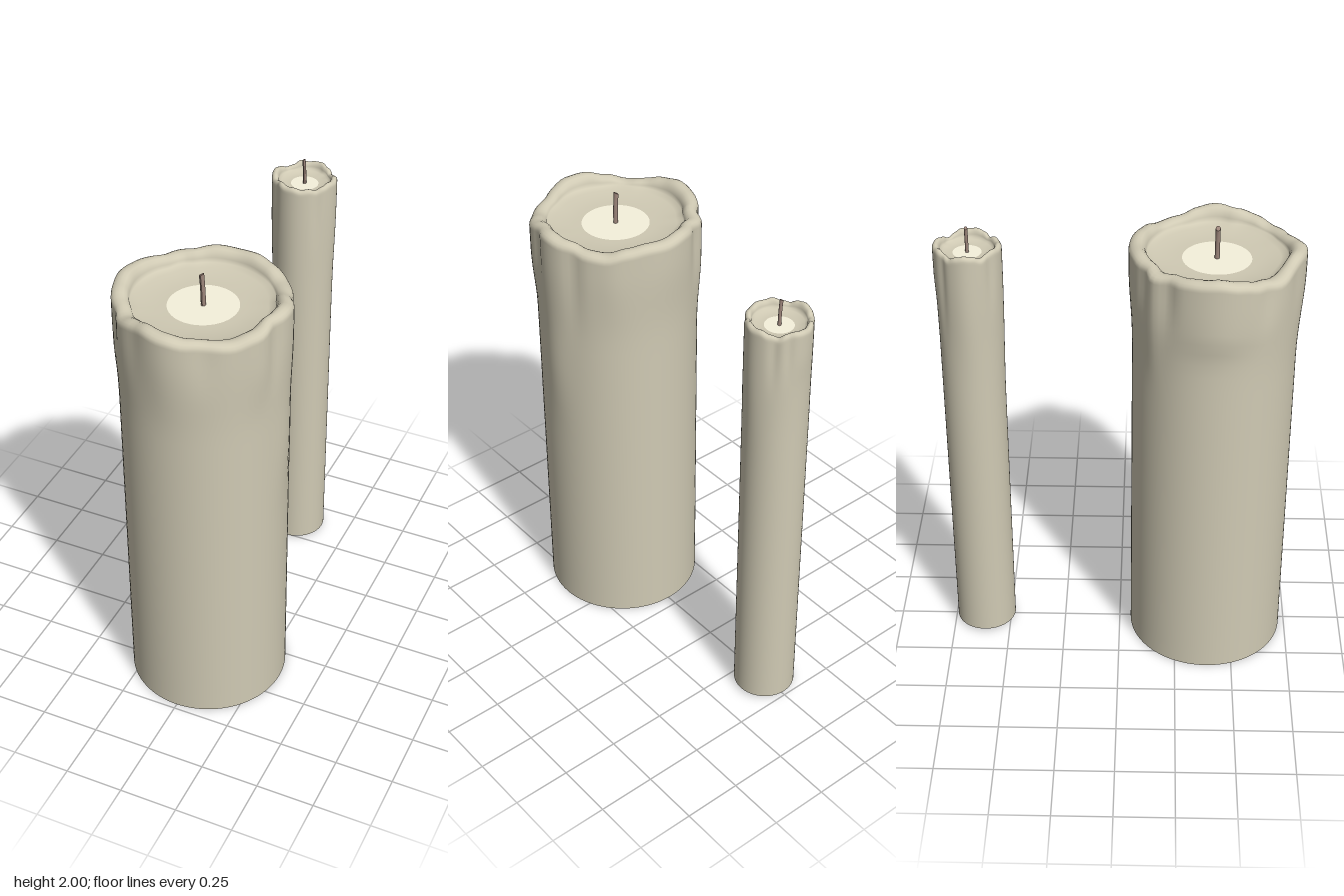
import * as THREE from 'three';

const SEG = 96;
const wax = new THREE.MeshStandardMaterial({ color: 0xd0cab4 });
const meltedWax = new THREE.MeshStandardMaterial({ color: 0xf6f1dc });
const string = new THREE.MeshStandardMaterial({ color: 0x9c857a });

const smooth = (a, b, v) => THREE.MathUtils.smoothstep(v, a, b);

// Angles run from the front (+z) towards +x, in degrees.
function bump(angle, centre, width) {
  const d = ((angle - centre + 540) % 360) - 180;
  return Math.exp(-(d * d) / (width * width));
}

// Smooth periodic lookup in evenly spaced values.
function around(values, angle) {
  const n = values.length, t = (angle / 360) * n, i = Math.floor(t), f = t - i;
  const s = f * f * (3 - 2 * f);
  return THREE.MathUtils.lerp(values[i % n], values[(i + 1) % n], s);
}

// Joins rings of points, listed from the base over the rim and inwards.
function skin(rows, point) {
  const pos = [], index = [];
  for (let j = 0; j < rows; j++)
    for (let i = 0; i < SEG; i++) pos.push(...point(j, (i / SEG) * 360));
  for (let j = 0; j < rows - 1; j++)
    for (let i = 0; i < SEG; i++) {
      const k = (i + 1) % SEG;
      const a = j * SEG + i, b = j * SEG + k, c = a + SEG, d = b + SEG;
      index.push(a, b, d, a, d, c);
    }
  const g = new THREE.BufferGeometry();
  g.setAttribute('position', new THREE.Float32BufferAttribute(pos, 3));
  g.setIndex(index);
  g.computeVertexNormals();
  return g;
}

function makeCandle(o) {
  const candle = new THREE.Group();
  candle.name = o.name;
  const add = (name, geometry, material) => {
    const m = new THREE.Mesh(geometry, material);
    m.name = name;
    candle.add(m);
    return m;
  };

  // Outer radius: straight body, flared top, wax runs and the folds between them.
  const outer = (angle, y) => {
    let r = o.radius + o.flare * smooth(1.45, 1.8, y);
    for (const [centre, width, amount, low, high] of o.runs)
      r += amount * bump(angle, centre, width) * smooth(low, high, y);
    return r;
  };

  const side = 30, lip = 8, slope = 5;
  const body = skin(side + lip + slope, (j, angle) => {
    const top = around(o.rim, angle), shoulder = top - o.lip * 0.6;
    const edge = outer(angle, shoulder), inner = o.inner + (edge - o.radius) * 0.4;
    let r, y;
    if (j < side) {
      y = o.base + (shoulder - o.base) * (1 - Math.pow(1 - j / (side - 1), 1.6));
      r = outer(angle, y);
    } else if (j < side + lip) {
      // Rounded rim
      const t = ((j - side + 1) / lip) * Math.PI;
      const mid = (edge + inner) / 2, half = (edge - inner) / 2;
      r = mid + half * Math.cos(t);
      y = t < Math.PI / 2 ? shoulder + (top - shoulder) * Math.sin(t)
        : THREE.MathUtils.lerp(o.pool + o.lip * 0.35, top, Math.sin(t));
    } else {
      // Shallow dish down to the melted pool
      const t = (j - side - lip + 1) / slope;
      r = THREE.MathUtils.lerp(inner, o.poolRadius, t);
      y = o.pool + o.lip * 0.35 * (1 - t) ** 2;
    }
    const a = THREE.MathUtils.degToRad(angle);
    return [r * Math.sin(a), y, r * Math.cos(a)];
  });
  add('waxBody', body, wax);

  const bottom = add('candleBase', new THREE.CircleGeometry(o.radius, SEG), wax);
  bottom.rotation.x = Math.PI / 2;
  bottom.position.y = o.base;

  const pool = add('meltedPool', new THREE.CircleGeometry(o.poolRadius, SEG), meltedWax);
  pool.rotation.x = -Math.PI / 2;
  pool.position.y = o.pool;

  // Wick with an obliquely cut tip
  const h = o.wickTop - o.pool;
  const wickGeometry = new THREE.CylinderGeometry(o.wick, o.wick, h, 10, 4);
  const p = wickGeometry.attributes.position;
  for (let i = 0; i < p.count; i++) {
    const t = p.getY(i) / h + 0.5;
    if (t > 0.99) p.setY(i, p.getY(i) - o.wick * 0.6 - p.getX(i) * -0.6);
    p.setX(i, p.getX(i) - 0.006 * t * t);
  }
  wickGeometry.computeVertexNormals();
  add('wick', wickGeometry, string).position.y = o.pool + h / 2;

  candle.position.set(o.x, 0, o.z);
  return candle;
}

export function createModel() {
  const model = new THREE.Group();
  model.name = 'candles';

  model.add(makeCandle({
    name: 'pillarCandle', x: -0.002, z: 0.388, base: 0, radius: 0.338, flare: 0.009,
    inner: 0.275, lip: 0.045, pool: 1.86, poolRadius: 0.14, wick: 0.01, wickTop: 2.0,
    // Rim height every 15 degrees
    rim: [1.925, 1.91, 1.9, 1.893, 1.91, 1.93, 1.938, 1.925, 1.905, 1.9, 1.92, 1.93,
      1.925, 1.93, 1.92, 1.91, 1.92, 1.928, 1.935, 1.92, 1.9, 1.888, 1.91, 1.93],
    // Wax runs: angle, width, amount, lower and upper fade height
    runs: [
      [92, 13, 0.011, 0.95, 1.35], [270, 24, 0.014, 1.57, 1.68], [0, 14, 0.013, 1.45, 1.85],
      [25, 9, -0.013, 1.62, 1.9], [62, 9, 0.008, 1.5, 1.75], [76, 5, -0.012, 1.55, 1.85],
      [112, 6, -0.013, 1.4, 1.85], [180, 22, 0.007, 1.55, 1.85], [140, 10, 0.006, 1.5, 1.8],
      [212, 6, -0.013, 1.6, 1.85], [222, 7, 0.01, 1.35, 1.7], [235, 6, -0.014, 1.6, 1.85],
      [305, 7, -0.012, 1.65, 1.88], [335, 8, -0.008, 1.6, 1.88],
    ],
  }));

  model.add(makeCandle({
    name: 'taperCandle', x: -0.002, z: -0.611, base: 0.015, radius: 0.131, flare: 0.003,
    inner: 0.105, lip: 0.03, pool: 1.875, poolRadius: 0.058, wick: 0.007, wickTop: 1.988,
    rim: [1.915, 1.908, 1.912, 1.9, 1.912, 1.92, 1.915, 1.918, 1.905, 1.895, 1.91, 1.918,
      1.915, 1.91, 1.918, 1.905, 1.898, 1.912, 1.92, 1.915, 1.9, 1.908, 1.918, 1.912],
    runs: [
      [0, 28, 0.005, 1.2, 1.6], [90, 22, 0.006, 1.3, 1.7], [180, 22, 0.005, 1.65, 1.8],
      [270, 25, 0.008, 1.3, 1.7], [45, 9, -0.006, 1.55, 1.85], [130, 9, -0.008, 1.6, 1.85],
      [155, 7, -0.006, 1.65, 1.85], [225, 9, -0.008, 1.45, 1.85], [318, 9, -0.007, 1.6, 1.85],
    ],
  }));
  return model;
}
